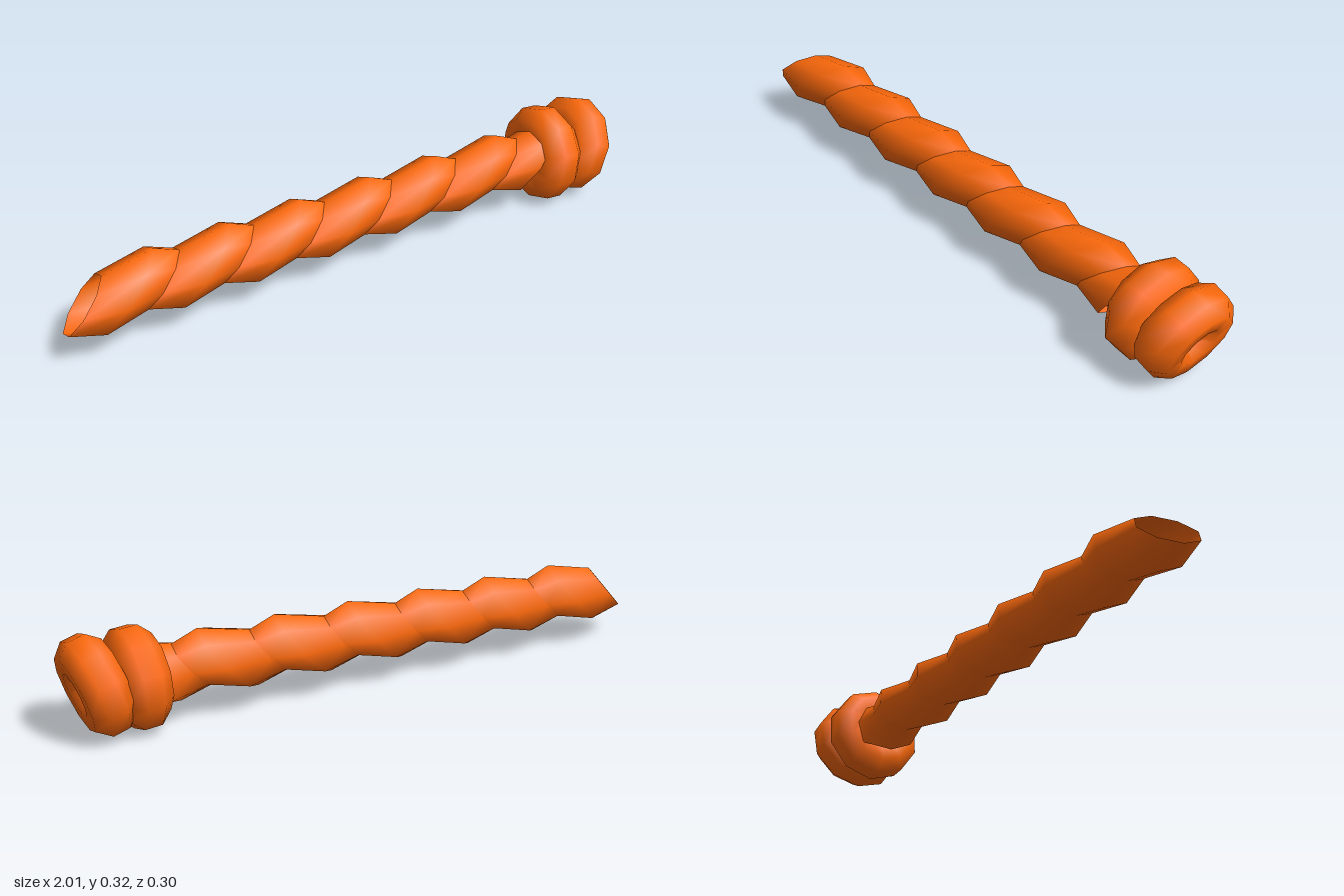
import * as THREE from 'three';
import { mergeVertices } from 'three/addons/utils/BufferGeometryUtils.js';

const SIDES = 8;
const PITCH = 0.255;

const material = new THREE.MeshStandardMaterial({ color: 0xff6a0c, side: THREE.DoubleSide });

// Open skin through a list of slanted rings [centre x, height radius, depth radius]
function slantedTube(rings) {
  const pos = [], index = [];
  for (const [cx, ry, rz] of rings) {
    for (let i = 0; i < SIDES; i++) {
      const a = (i / SIDES) * Math.PI * 2;
      const y = Math.cos(a) * ry, z = Math.sin(a) * rz;
      pos.push(cx + 0.9 * y - 0.43 * z, 0.17 + y, z);
    }
  }
  for (let r = 0; r < rings.length - 1; r++) {
    for (let i = 0; i < SIDES; i++) {
      const j = (i + 1) % SIDES;
      const a = r * SIDES + i, b = r * SIDES + j, c = a + SIDES, d = b + SIDES;
      index.push(a, c, b, b, c, d);
    }
  }
  // Face outwards: the first triangle touches the top vertex, so its normal must point up
  const g = new THREE.BufferGeometry();
  g.setAttribute('position', new THREE.Float32BufferAttribute(pos, 3));
  g.setIndex(index);
  g.computeVertexNormals();
  if (g.attributes.normal.getY(0) < 0) {
    g.setIndex(index.reverse());
    g.computeVertexNormals();
  }
  return g;
}

// Ten-sided doughnut whose axis lies along x, with an octagonal section
function ringGeometry(radius, tube, axialStretch) {
  const profile = [];
  for (let i = 0; i <= 8; i++) {
    const a = ((i + 0.5) / 8) * Math.PI * 2;
    profile.push(new THREE.Vector2(radius + Math.cos(a) * tube, Math.sin(a) * tube * axialStretch));
  }
  let g = new THREE.LatheGeometry(profile, 10, Math.PI / 2);
  g.deleteAttribute('uv');
  g.deleteAttribute('normal');
  g = mergeVertices(g, 1e-4);
  g.computeVertexNormals();
  g.rotateZ(-Math.PI / 2);
  return g;
}

export function createModel() {
  const model = new THREE.Group();
  model.name = 'twistedStick';

  // Hollow shaft: swollen segments meeting in sharp slanted grooves
  const shaft = new THREE.Group();
  shaft.name = 'shaft';
  for (let k = 0; k < 7; k++) {
    const x = -0.93 + k * PITCH;
    const rings = [[x, 0.075, 0.079], [x + 0.14, 0.11, 0.104]];
    if (k < 6) rings.push([x + PITCH, 0.075, 0.079]);
    const segment = new THREE.Mesh(slantedTube(rings), material);
    segment.name = 'shaftSegment';
    shaft.add(segment);
  }
  model.add(shaft);

  // Two thick rings stacked at the end, each leaning outwards at the top
  const ring = ringGeometry(0.097, 0.068, 1.08);
  for (const [name, x, tilt] of [['innerRing', 0.782, -0.1], ['outerRing', 0.907, -0.32]]) {
    const mesh = new THREE.Mesh(ring, material);
    mesh.name = name;
    mesh.position.set(x, 0.162, 0);
    mesh.rotation.z = tilt;
    model.add(mesh);
  }
  return model;
}
